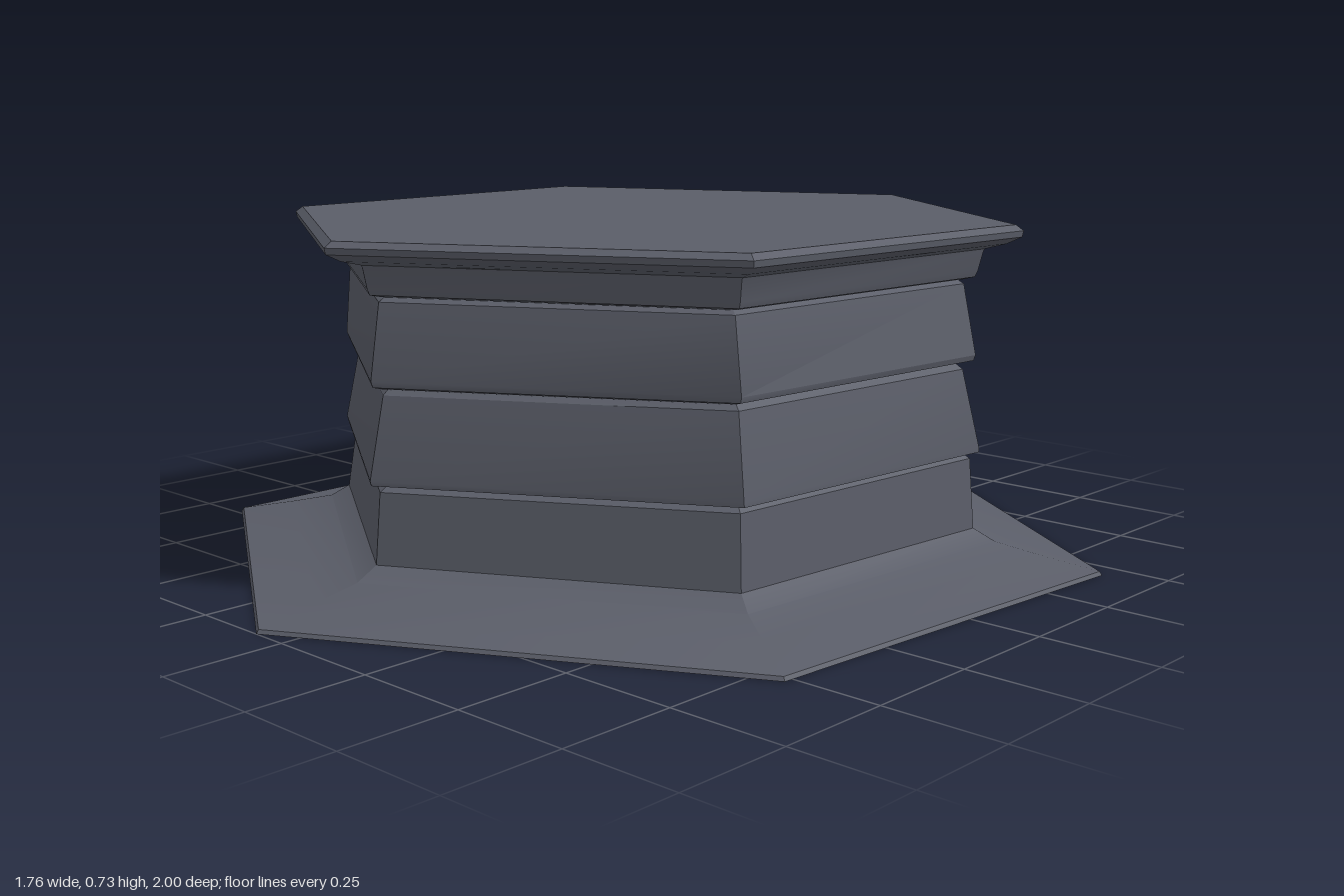
import * as THREE from 'three';
import { toCreasedNormals } from 'three/addons/utils/BufferGeometryUtils.js';

// Slightly irregular hexagon, as fractions of each ring's reach in x and z
const CORNERS = [
  [0.08, -1], [1, -0.44], [0.92, 0.52], [-0.09, 1], [-1, 0.485], [-1, -0.55],
];

// Ring: [y, reach to -x, reach to +x, reach to -z, reach to +z, tilt along x]
function ringPoints([y, xn, xp, zn, zp, tilt = 0]) {
  return CORNERS.map(([u, v]) => {
    const x = u * (u < 0 ? xn : xp);
    return [x, y + tilt * x, v * (v < 0 ? zn : zp)];
  });
}

// Closed solid lofted through hexagonal rings from bottom to top
function loft(name, rings, material) {
  const rows = rings.map(ringPoints);
  const pos = [];
  const tri = (a, b, c) => pos.push(...a, ...b, ...c);
  const centre = (row) => [0, 1, 2].map((k) => row.reduce((s, p) => s + p[k], 0) / row.length);
  const first = rows[0], last = rows[rows.length - 1];
  const c0 = centre(first), c1 = centre(last);
  for (let j = 0; j < 6; j++) {
    const k = (j + 1) % 6;
    for (let i = 0; i < rows.length - 1; i++) {
      const a = rows[i], b = rows[i + 1];
      tri(a[j], b[j], a[k]);
      tri(b[j], b[k], a[k]);
    }
    tri(c0, first[j], first[k]);
    tri(c1, last[k], last[j]);
  }
  const geo = new THREE.BufferGeometry();
  geo.setAttribute('position', new THREE.Float32BufferAttribute(pos, 3));
  const mesh = new THREE.Mesh(toCreasedNormals(geo, 0.5), material);
  mesh.name = name;
  return mesh;
}

export function createModel() {
  const group = new THREE.Group();
  group.name = 'hexagonalPedestal';
  const stone = new THREE.MeshStandardMaterial({ color: 0x5a5d68 });
  stone.name = 'slateGrey';
  const T = 0.008; // lean of the seams between courses

  // Flared foot and lowest course
  group.add(loft('flaredBase', [
    [0, 0.885, 0.88, 1, 1],
    [0.008, 0.88, 0.875, 0.995, 0.995],
    [0.033, 0.765, 0.765, 0.87, 0.87],
    [0.055, 0.675, 0.68, 0.775, 0.775],
    [0.082, 0.637, 0.64, 0.72, 0.73],
    [0.228, 0.61, 0.63, 0.705, 0.718, T],
    [0.24, 0.595, 0.615, 0.685, 0.70, T],
  ], stone));

  // Two tapering courses with soft lips
  group.add(loft('lowerCourse', [
    [0.238, 0.605, 0.625, 0.69, 0.71, T],
    [0.244, 0.628, 0.65, 0.712, 0.738, T],
    [0.254, 0.63, 0.65, 0.712, 0.74, T],
    [0.42, 0.597, 0.617, 0.665, 0.705, T],
    [0.434, 0.58, 0.60, 0.65, 0.69, T],
  ], stone));
  group.add(loft('upperCourse', [
    [0.432, 0.60, 0.61, 0.675, 0.705, T],
    [0.438, 0.622, 0.633, 0.70, 0.728, T],
    [0.45, 0.627, 0.637, 0.702, 0.732, T],
    [0.603, 0.622, 0.607, 0.687, 0.708],
    [0.615, 0.605, 0.59, 0.67, 0.69],
  ], stone));

  // Neck under the top slab
  group.add(loft('neck', [
    [0.612, 0.615, 0.605, 0.685, 0.70],
    [0.618, 0.64, 0.627, 0.71, 0.728],
    [0.63, 0.647, 0.632, 0.715, 0.733],
    [0.672, 0.66, 0.64, 0.73, 0.742],
    [0.69, 0.67, 0.65, 0.74, 0.752],
  ], stone));

  // Top slab with bevelled rim
  group.add(loft('topSlab', [
    [0.676, 0.66, 0.64, 0.73, 0.74],
    [0.688, 0.71, 0.68, 0.785, 0.79],
    [0.703, 0.742, 0.708, 0.815, 0.822],
    [0.716, 0.745, 0.71, 0.82, 0.825],
    [0.728, 0.73, 0.695, 0.805, 0.808],
  ], stone));
  return group;
}
